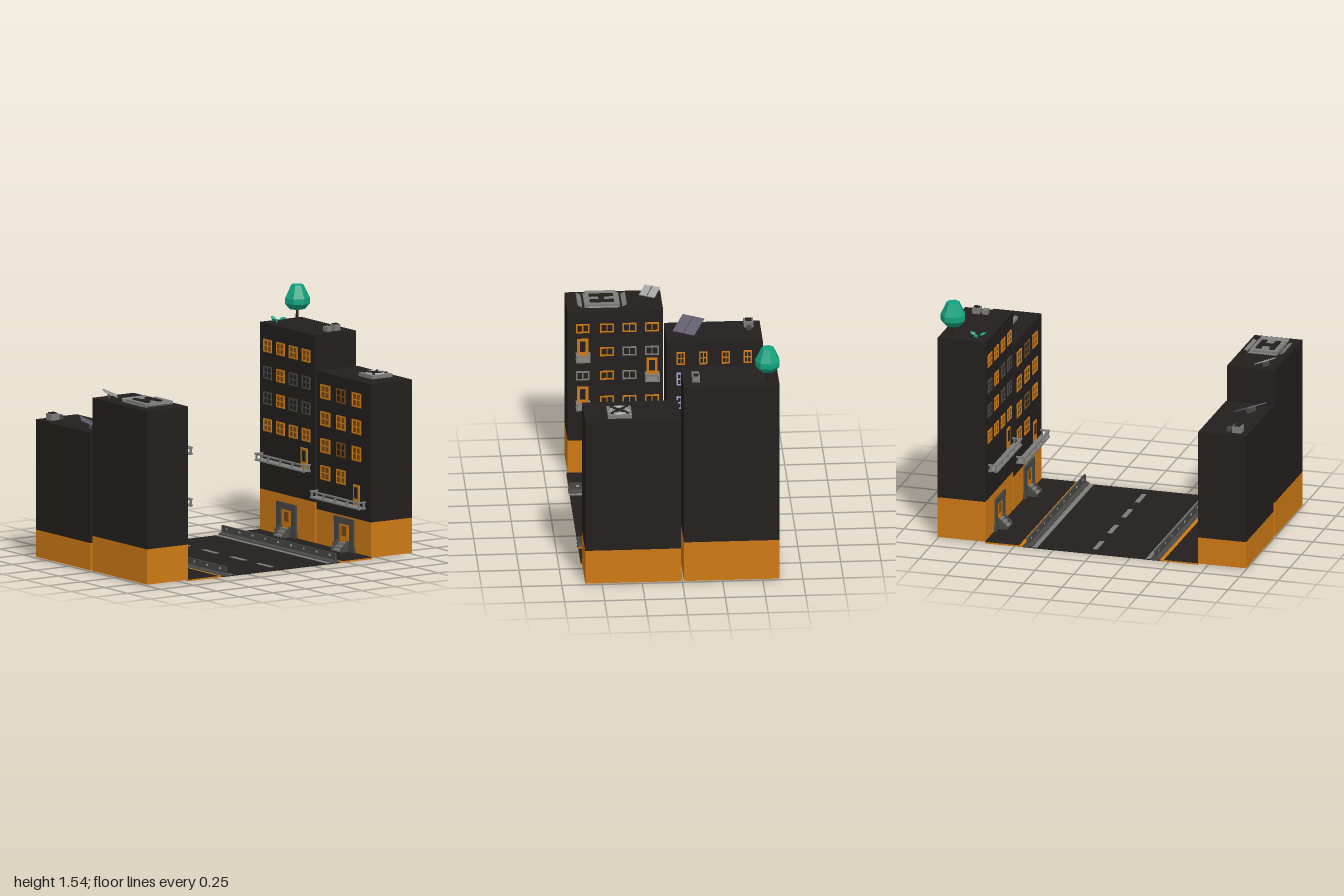
import * as THREE from 'three';

const mat = (color) => new THREE.MeshStandardMaterial({ color, flatShading: true, side: THREE.DoubleSide });
const DARK = mat(0x231f1e), ORANGE = mat(0xcf7a14), GRAY = mat(0x7c7c7a), STEEL = mat(0x484846),
  LIGHT = mat(0xa5a5a3), GREEN = mat(0x12a37f), LILAC = mat(0xaaa4dc), SLATE = mat(0x625f6e), AMBER = mat(0x7a4a16);

function add(parent, name, geo, m, x = 0, y = 0, z = 0) {
  const mesh = new THREE.Mesh(geo, m);
  mesh.name = name;
  mesh.position.set(x, y, z);
  parent.add(mesh);
  return mesh;
}
const box = (p, name, m, w, h, d, x, y, z) => add(p, name, new THREE.BoxGeometry(w, h, d), m, x, y, z);
function group(parent, name, x = 0, y = 0, z = 0) {
  const g = new THREE.Group();
  g.name = name;
  g.position.set(x, y, z);
  parent.add(g);
  return g;
}
// Extrudes an x,y outline along z, centred
function prism(points, depth) {
  const shape = new THREE.Shape(points.map(([x, y]) => new THREE.Vector2(x, y)));
  return new THREE.ExtrudeGeometry(shape, { depth, bevelEnabled: false }).translate(0, 0, -depth / 2);
}

// Facade parts are built with the wall at x = 0 and the street towards +x
function windowUnit(parent, y, z, w, h, m, glass, rows) {
  const g = group(parent, 'window', 0, y, z), b = 0.009;
  box(g, 'windowPane', glass, 0.004, h, w, 0.001, 0, 0);
  for (const s of [-1, 1]) {
    box(g, 'windowFrame', m, 0.01, h, b, 0.002, 0, s * (w - b) / 2);
    box(g, 'windowFrame', m, 0.01, b, w, 0.002, s * (h - b) / 2, 0);
  }
  box(g, 'windowMullion', m, 0.008, h, b * 0.8, 0.002, 0, 0);
  if (rows > 1) box(g, 'windowMullion', m, 0.008, b * 0.8, w, 0.002, 0, 0);
}

function balconyDoor(parent, y, z) {
  box(parent, 'balconyDoor', ORANGE, 0.01, 0.13, 0.07, 0.002, y + 0.065, z);
  box(parent, 'balconyDoorPane', DARK, 0.012, 0.07, 0.035, 0.003, y + 0.08, z);
}

function balcony(parent, y, z, length) {
  const g = group(parent, 'balcony', 0.038, y, z), n = Math.max(2, Math.round(length / 0.13) + 1);
  box(g, 'balconyFloor', GRAY, 0.062, 0.009, length, 0, 0.008, 0);
  box(g, 'balconyRail', GRAY, 0.014, 0.01, length, 0.024, 0.046, 0);
  for (const s of [-1, 1]) box(g, 'balconySideRail', GRAY, 0.062, 0.009, 0.012, 0, 0.046, s * (length / 2 - 0.006));
  for (let i = 0; i < n; i++)
    box(g, 'balconyPost', GRAY, 0.01, 0.05, 0.012, 0.018, 0.025, (i / (n - 1) - 0.5) * (length - 0.012));
  for (const s of [-1, 1]) box(g, 'balconyPost', GRAY, 0.009, 0.05, 0.01, -0.018, 0.025, s * (length / 2 - 0.006));
}

function entrance(parent, z, doorMat) {
  const g = group(parent, 'entrance', 0, 0, z);
  for (const s of [-1, 1]) {
    box(g, 'doorJamb', STEEL, 0.014, 0.2, 0.045, 0.004, 0.1, s * 0.082);
    box(g, 'doorPlinth', STEEL, 0.018, 0.05, 0.06, 0.006, 0.025, s * 0.085);
    // Stair cheek
    add(g, 'stairCheek', prism([[0, 0.008], [0.07, 0.008], [0.07, 0.03], [0.016, 0.08], [0, 0.08]], 0.012), STEEL, 0, 0, s * 0.05);
  }
  box(g, 'doorLintel', STEEL, 0.016, 0.04, 0.21, 0.005, 0.2, 0);
  box(g, 'doorSill', STEEL, 0.02, 0.01, 0.24, 0, 0.005, 0);
  box(g, 'door', doorMat, 0.008, 0.13, 0.1, 0.003, 0.12, 0);
  box(g, 'doorPane', doorMat === GRAY ? LIGHT : AMBER, 0.01, 0.06, 0.045, 0.004, 0.135, 0);
  for (let i = 0; i < 3; i++)
    box(g, 'stairStep', GRAY, 0.02, 0.02 + i * 0.02, 0.09, 0.054 - i * 0.02, 0.015 + i * 0.01, 0);
}

// side: +1 stands on the model's left, -1 on its right
function building(root, o) {
  const g = group(root, o.name);
  box(g, 'buildingBase', ORANGE, 0.31, o.base - 0.008, 0.595, o.side * 0.845, (o.base + 0.008) / 2, o.z);
  box(g, 'buildingWalls', DARK, 0.31, o.height - o.base, 0.595, o.side * 0.845, (o.height + o.base) / 2, o.z);
  const f = group(g, 'facade', o.side * 0.69);
  if (o.side > 0) f.rotation.y = Math.PI;
  const dz = -o.side; // the facade of the +x side is turned round
  o.rows.forEach((y, r) => o.cols.forEach((z, c) => {
    if (o.balconies.some(([by, bz]) => y > by - 0.02 && y < by + 0.17 && Math.abs(z - bz) < 0.06)) return;
    const lit = (r * 2 + c * 3 + r * c) % o.litEvery === 0;
    windowUnit(f, y, dz * z, o.win[0], o.win[1], lit ? ORANGE : o.frame, lit && o.side > 0 ? AMBER : DARK, o.panes);
  }));
  for (const [y, doorZ, z, length] of o.balconies) {
    balconyDoor(f, y + 0.01, dz * doorZ);
    balcony(f, y, dz * z, length);
  }
  entrance(f, dz * o.doorZ, o.side > 0 ? ORANGE : GRAY);
  return g;
}

function solarPanel(parent, x, y, z, w, d, turn, m) {
  const g = group(parent, 'solarPanel', x, y, z);
  g.rotation.y = turn;
  const p = group(g, 'panelTilt', 0, 0.03, 0);
  p.rotation.z = -0.42;
  box(p, 'panelPlate', m, w, 0.006, d, 0, 0, 0);
  box(p, 'panelDivider', STEEL, w, 0.008, 0.005, 0, 0, 0);
  box(g, 'panelLeg', STEEL, 0.012, 0.03, d * 0.5, -0.01, 0.013, 0);
}

function vent(parent, x, y, z, size, h) {
  box(parent, 'ventBox', GRAY, size, h, size, x, y + h / 2, z);
  box(parent, 'ventCap', DARK, size * 0.65, 0.008, size * 0.65, x, y + h + 0.002, z);
}

function helipad(parent, x, y, z) {
  const g = group(parent, 'landingPad', x, y, z);
  box(g, 'padPlate', GRAY, 0.18, 0.022, 0.22, 0, 0.011, 0);
  for (const s of [-1, 1]) {
    box(g, 'padMarking', DARK, 0.032, 0.008, 0.15, s * 0.044, 0.026, 0);
    const a = box(g, 'padEdge', GRAY, 0.022, 0.008, 0.19, s * 0.115, 0.013, 0);
    a.rotation.z = s * 0.45;
    const b = box(g, 'padEdge', GRAY, 0.18, 0.008, 0.03, 0, 0.014, s * 0.139);
    b.rotation.x = -s * 0.5;
  }
  box(g, 'padMarking', DARK, 0.06, 0.008, 0.035, 0, 0.026, 0);
}

function roofFan(parent, x, y, z) {
  const g = group(parent, 'roofFan', x, y, z);
  box(g, 'fanHousing', GRAY, 0.15, 0.022, 0.15, 0, 0.011, 0);
  add(g, 'fanRing', new THREE.TorusGeometry(0.055, 0.008, 4, 16).rotateX(Math.PI / 2), LIGHT, 0, 0.023, 0);
  for (const s of [-1, 1]) box(g, 'fanBlade', DARK, 0.15, 0.008, 0.014, 0, 0.028, 0).rotation.y = s * Math.PI / 4;
}

function tree(parent, x, y, z) {
  const g = group(parent, 'tree', x, y, z);
  add(g, 'treeTrunk', new THREE.CylinderGeometry(0.006, 0.01, 0.09, 6), DARK, 0, 0.045, 0);
  const profile = [[0, 0.068], [0.05, 0.07], [0.08, 0.105], [0.08, 0.14], [0.04, 0.222], [0, 0.225]];
  add(g, 'treeCrown', new THREE.LatheGeometry(profile.map((p) => new THREE.Vector2(...p)), 7), GREEN);
}

function plant(parent, x, y, z) {
  const g = group(parent, 'roofPlant', x, y, z);
  for (let i = 0; i < 3; i++) {
    const stem = group(g, 'plantLeaf');
    stem.rotation.y = i * Math.PI * 2 / 3 + Math.PI / 2;
    const leaf = add(stem, 'leaf', new THREE.OctahedronGeometry(0.026), GREEN, 0.036, 0.022, 0);
    leaf.scale.set(1, 0.4, 0.7);
    leaf.rotation.z = 0.35;
  }
  add(g, 'plantStem', new THREE.CylinderGeometry(0.004, 0.006, 0.02, 5), GREEN, 0, 0.01, 0);
}

export function createModel() {
  const root = new THREE.Group();
  root.name = 'cityStreet';

  // Road and centre dashes
  box(root, 'road', DARK, 0.9, 0.006, 1.225, 0, 0.003, 0);
  for (const z of [-0.46, -0.15, 0.155, 0.445]) box(root, 'laneDash', GRAY, 0.03, 0.003, 0.155, 0, 0.007, z);

  // Pavements, kerbs and crash barriers
  for (const s of [-1, 1]) {
    box(root, 'pavementSlab', ORANGE, 0.25, 0.01, 1.225, s * 0.565, 0.005, 0);
    box(root, 'pavementTop', DARK, 0.22, 0.003, 1.225, s * 0.58, 0.0115, 0);
    box(root, 'gutter', GRAY, 0.035, 0.006, 1.225, s * 0.37, 0.005, 0);
    add(root, 'barrierWall', prism([[-0.03, 0.004], [0.03, 0.004], [0.03, 0.014], [0.006, 0.024], [0.006, 0.065],
      [-0.006, 0.065], [-0.006, 0.024], [-0.03, 0.014]], 1.235), STEEL, s * 0.413, 0, 0);
    for (const t of [-1, 1]) for (let i = 0; i < 9; i++)
      box(root, 'barrierReflector', LIGHT, 0.003, 0.012, 0.018, s * 0.413 + t * 0.006, 0.048, -0.56 + i * 0.14);
  }

  // Four buildings
  const hall = building(root, { name: 'padBuilding', side: -1, z: 0.307, height: 1.1, base: 0.23, doorZ: 0.335,
    rows: [0.99, 0.83, 0.67, 0.5], cols: [0.51, 0.36, 0.22, 0.08], win: [0.085, 0.06], panes: 1, frame: GRAY, litEvery: 3,
    balconies: [[0.78, 0.51, 0.51, 0.09], [0.64, 0.08, 0.08, 0.09], [0.455, 0.51, 0.51, 0.09]] });
  const low = building(root, { name: 'lowBuilding', side: -1, z: -0.312, height: 0.875, base: 0.18, doorZ: -0.31,
    rows: [0.77, 0.63, 0.47], cols: [-0.1, -0.24, -0.38, -0.515], win: [0.052, 0.085], panes: 2, frame: LILAC, litEvery: 3,
    balconies: [] });
  const fanHouse = building(root, { name: 'fanBuilding', side: 1, z: 0.307, height: 1.1, base: 0.23, doorZ: 0.32,
    rows: [0.98, 0.81, 0.64, 0.47], cols: [0.11, 0.28, 0.45], win: [0.1, 0.09], panes: 2, frame: AMBER, litEvery: 2,
    balconies: [[0.305, 0.45, 0.295, 0.53]] });
  const tower = building(root, { name: 'gardenBuilding', side: 1, z: -0.307, height: 1.32, base: 0.27, doorZ: -0.31,
    rows: [1.18, 1.01, 0.85, 0.68], cols: [-0.52, -0.38, -0.24, -0.1], win: [0.09, 0.08], panes: 2, frame: STEEL, litEvery: 3,
    balconies: [[0.455, -0.12, -0.305, 0.53]] });

  // Roof fittings
  helipad(hall, -0.845, 1.1, 0.385);
  solarPanel(hall, -0.915, 1.1, 0.08, 0.09, 0.105, -0.5, LIGHT);
  solarPanel(low, -0.89, 0.875, -0.16, 0.15, 0.15, -0.55, SLATE);
  vent(low, -0.925, 0.875, -0.535, 0.06, 0.04);
  box(low, 'ventDuct', STEEL, 0.03, 0.025, 0.03, -0.87, 0.888, -0.535);
  roofFan(fanHouse, 0.875, 1.1, 0.385);
  tree(tower, 0.92, 1.32, -0.535);
  plant(tower, 0.765, 1.32, -0.535);
  vent(tower, 0.9, 1.32, -0.09, 0.048, 0.038);
  box(tower, 'ventDuct', GRAY, 0.035, 0.03, 0.045, 0.842, 1.335, -0.09);
  return root;
}
